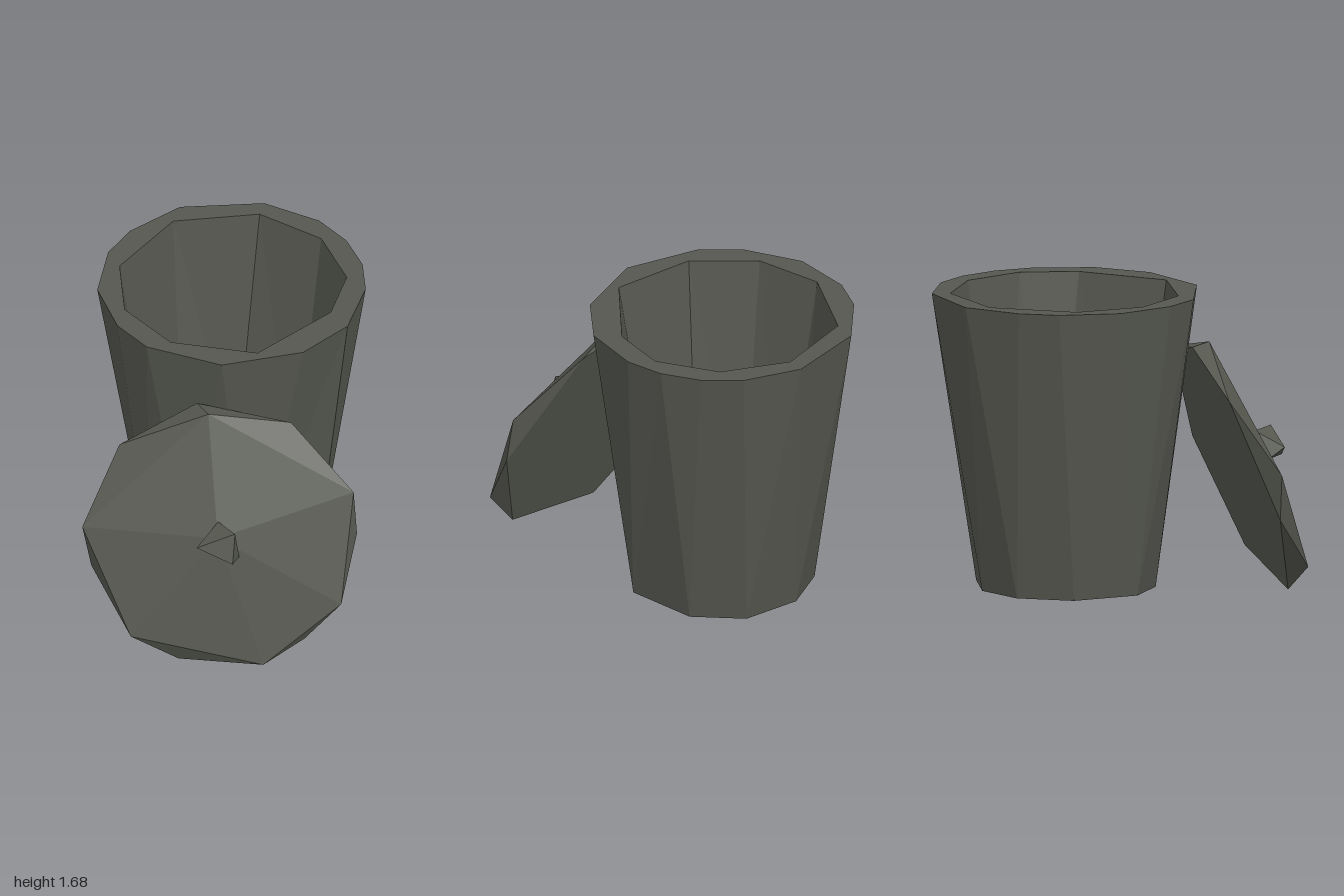
import * as THREE from 'three';
import { ConvexGeometry } from 'three/addons/geometries/ConvexGeometry.js';

const material = new THREE.MeshStandardMaterial({ color: 0x55574f, flatShading: true });
const CX = 0.01, CZ = -0.27; // axis of the bin

// Horizontal cross-section at height y, sorted by angle around the bin axis
function loop(y, points) {
  return points
    .map(([x, z]) => ({ p: [x, y, z], a: Math.atan2(x - CX, z - CZ) }))
    .sort((m, n) => m.a - n.a);
}

// Stitches two loops with any number of points; a one-point loop makes a cap
function stitch(lower, upper) {
  const positions = [];
  const steps = (l) => (l.length > 1 ? l.length : 0);
  const at = (l, i) => l[i % l.length];
  const angle = (l, i) =>
    i > steps(l) || l.length === 1 ? Infinity : at(l, i).a + (i >= l.length ? Math.PI * 2 : 0);
  let i = 0, j = 0;
  while (i < steps(lower) || j < steps(upper)) {
    const low = at(lower, i).p, up = at(upper, j).p;
    if (angle(lower, i + 1) <= angle(upper, j + 1)) {
      positions.push(...low, ...at(lower, ++i).p, ...up);
    } else {
      positions.push(...low, ...at(upper, ++j).p, ...up);
    }
  }
  const geometry = new THREE.BufferGeometry();
  geometry.setAttribute('position', new THREE.Float32BufferAttribute(positions, 3));
  geometry.computeVertexNormals();
  return geometry;
}

function addMesh(parent, name, geometry) {
  const mesh = new THREE.Mesh(geometry, material);
  mesh.name = name;
  parent.add(mesh);
}

const hull = (points) => new ConvexGeometry(points.map((p) => new THREE.Vector3(...p)));

export function createModel() {
  const model = new THREE.Group();
  model.name = 'binWithLid';

  // Bin: tapered, uneven low-poly bucket
  const bin = new THREE.Group();
  bin.name = 'bin';
  model.add(bin);
  const outerTop = loop(1.685, [
    [0.15, -1], [-0.31, -0.94], [-0.57, -0.71], [-0.68, -0.51], [-0.72, -0.17], [-0.59, 0.15],
    [-0.42, 0.33], [0, 0.47], [0.44, 0.33], [0.67, 0.08], [0.75, -0.26], [0.72, -0.48],
    [0.62, -0.69], [0.46, -0.86],
  ]);
  const outerBottom = loop(0.05, [
    [0.5, -0.06], [0.48, -0.47], [0.28, -0.71], [-0.05, -0.77], [-0.32, -0.65],
    [-0.48, -0.37], [-0.42, 0.01], [-0.19, 0.18], [0.15, 0.23],
  ]);
  const innerTop = loop(1.685, [
    [-0.34, -0.81], [0.13, -0.9], [0.48, -0.7], [0.64, -0.36], [0.57, -0.04],
    [0.19, 0.35], [-0.29, 0.28], [-0.56, 0], [-0.61, -0.39],
  ]);
  const innerFloor = loop(0.14, [
    [-0.27, -0.55], [0.01, -0.67], [0.34, -0.52], [0.41, -0.23],
    [0.09, 0.12], [-0.16, 0.09], [-0.34, -0.08], [-0.38, -0.33],
  ]);
  addMesh(bin, 'outerWall', stitch(outerBottom, outerTop));
  addMesh(bin, 'rim', stitch(outerTop, innerTop));
  addMesh(bin, 'innerWall', stitch(innerTop, innerFloor));
  addMesh(bin, 'floor', stitch(innerFloor, loop(0.14, [[CX, CZ]])));
  addMesh(bin, 'underside', stitch(loop(0.05, [[CX, CZ]]), outerBottom));

  // Lid leaning on the front of the bin
  const lid = new THREE.Group();
  lid.name = 'lid';
  model.add(lid);
  const backZ = (y) => 0.93 - 0.385 * y;
  const frontEdge = [
    [-0.07, 1.38, 0.52], [-0.75, 0.74, 0.74], [-0.47, 0.17, 0.97],
    [0.26, 0.03, 1], [0.68, 0.36, 0.86], [0.735, 0.96, 0.63],
  ];
  const backEdge = [
    [-0.14, 1.365], [-0.56, 1.13], [-0.7, 0.48], [-0.21, 0],
    [0.48, 0.13], [0.755, 0.7], [0.38, 1.28],
  ].map(([x, y]) => [x, y, backZ(y)]);
  addMesh(lid, 'lidDisc', hull([...frontEdge, ...backEdge, [0, 0.77, 0.84]]));

  // Knob in the middle of the lid
  addMesh(lid, 'lidKnob', hull([
    [0.1, 0.865, 0.92], [-0.11, 0.775, 0.94], [0.09, 0.7, 0.98],
    [0, 0.855, 0.8], [0.12, 0.67, 0.87], [-0.1, 0.71, 0.85],
  ]));
  return model;
}
